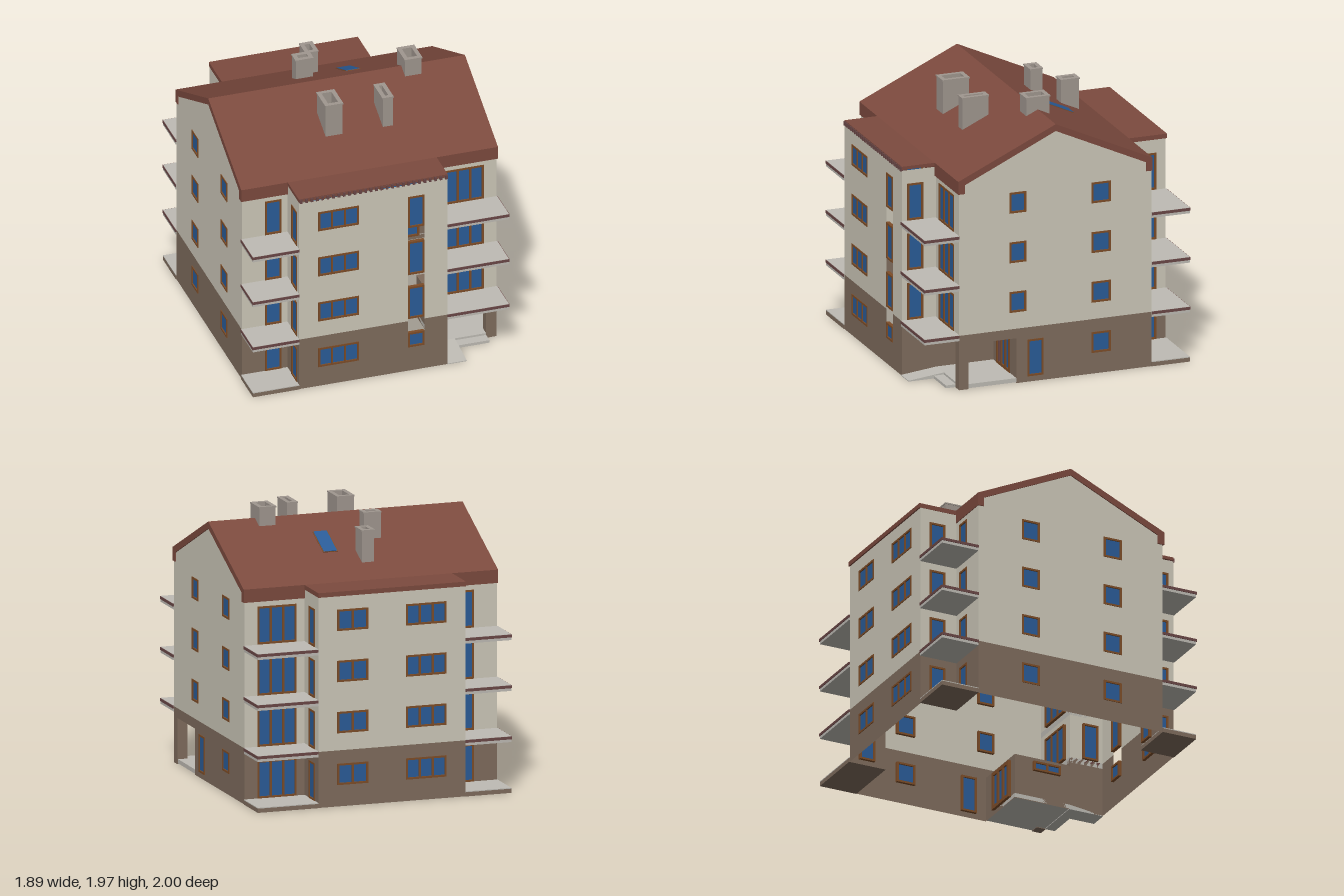
import * as THREE from 'three';
import { mergeGeometries } from 'three/addons/utils/BufferGeometryUtils.js';

const mat = (color, side = THREE.FrontSide) => new THREE.MeshStandardMaterial({ color, side, flatShading: true });
const M = {
  plaster: mat(0xcdc8b9, THREE.DoubleSide),
  plinth: mat(0x7f6c5d, THREE.DoubleSide),
  roof: mat(0x7c4a3e, THREE.DoubleSide),
  frame: mat(0x7d4d28),
  glass: mat(0x2a5c98),
  trim: mat(0x6a4746),
  slab: mat(0xbebbb4),
  chimney: mat(0xa0978f),
};
const PLINTH_TOP = 0.4;
const FRONT = 0, RIGHT = Math.PI / 2, BACK = Math.PI, LEFT = -Math.PI / 2;
const TOPS = [0.305, 0.675, 1.04, 1.405]; // window heads per storey

function add(parent, name, geometry, material) {
  const mesh = new THREE.Mesh(geometry, material);
  mesh.name = name;
  parent.add(mesh);
  return mesh;
}

// Box given by its limits on each axis
function box(parent, name, material, x0, x1, y0, y1, z0, z1) {
  const g = new THREE.BoxGeometry(x1 - x0, y1 - y0, z1 - z0);
  g.translate((x0 + x1) / 2, (y0 + y1) / 2, (z0 + z1) / 2);
  return add(parent, name, g, material);
}

function rectPath(Type, x0, x1, y0, y1) {
  return new Type().moveTo(x0, y0).lineTo(x1, y0).lineTo(x1, y1).lineTo(x0, y1).closePath();
}

// Frame with a number of glass panes side by side
function makeWindow(parent, { u0, u1, y0, y1, panes = 1, bar = 0.014 }) {
  const shape = rectPath(THREE.Shape, u0, u1, y0, y1);
  const w = (u1 - u0 - bar * (panes + 1)) / panes;
  for (let i = 0; i < panes; i++) {
    const a = u0 + bar + i * (w + bar);
    shape.holes.push(rectPath(THREE.Path, a, a + w, y0 + bar, y1 - bar));
  }
  const g = new THREE.ExtrudeGeometry(shape, { depth: 0.026, bevelEnabled: false });
  g.translate(0, 0, -0.021);
  add(parent, 'windowFrame', g, M.frame);
  box(parent, 'windowGlass', M.glass, u0 + 0.005, u1 - 0.005, y0 + 0.005, y1 - 0.005, -0.01, -0.004);
}

// Flat wall in local (u, y), pushed out by d and turned; openings are left out of a grid of cells
function makeWall(parent, name, turn, d, u0, u1, top, openings = []) {
  const wall = new THREE.Group();
  wall.name = name;
  wall.rotation.y = turn;
  wall.position.set(Math.sin(turn) * d, 0, Math.cos(turn) * d);
  parent.add(wall);
  const steps = (list) => [...new Set(list)].sort((a, b) => a - b);
  const us = steps([u0, u1, ...openings.flatMap((o) => [o.u0, o.u1])]);
  const ys = steps([0, top, ...(top > PLINTH_TOP ? [PLINTH_TOP] : []), ...openings.flatMap((o) => [o.y0, o.y1])]);
  const cells = { plinth: [], plaster: [] };
  for (let i = 0; i + 1 < us.length; i++) {
    for (let j = 0; j + 1 < ys.length; j++) {
      const u = (us[i] + us[i + 1]) / 2, y = (ys[j] + ys[j + 1]) / 2;
      if (openings.some((o) => u > o.u0 && u < o.u1 && y > o.y0 && y < o.y1)) continue;
      const g = new THREE.PlaneGeometry(us[i + 1] - us[i], ys[j + 1] - ys[j]);
      g.translate(u, y, 0);
      cells[y < PLINTH_TOP ? 'plinth' : 'plaster'].push(g);
    }
  }
  for (const key in cells) if (cells[key].length) add(wall, key + 'Band', mergeGeometries(cells[key]), M[key]);
  openings.filter((o) => !o.empty).forEach((o) => makeWindow(wall, o));
  return wall;
}

// The same window repeated on chosen storeys
const column = (u0, u1, height, panes = 1, floors = [0, 1, 2, 3]) =>
  floors.map((f) => ({ u0, u1, y0: TOPS[f] - height, y1: TOPS[f], panes }));
const UPPER = [1, 2, 3];

function buildWalls(g) {
  // Front bay with a stair strip left open between its windows
  const stair = [[0.19, 0.305], [0.42, 0.675], [0.775, 1.04], [1.155, 1.405]].map(([y0, y1]) => ({ u0: 0.2, u1: 0.32, y0, y1 }));
  const gaps = [0, 1, 2].map((i) => ({ u0: 0.2, u1: 0.32, y0: stair[i].y1, y1: stair[i + 1].y0, empty: true }));
  makeWall(g, 'frontBayWall', FRONT, 0.985, -0.6, 0.49, 1.505, [...column(-0.46, -0.16, 0.152, 3), ...stair, ...gaps]);
  makeWall(g, 'backBayWall', BACK, 0.99, -0.49, 0.6, 1.505, [...column(0.16, 0.46, 0.152, 3), ...column(-0.35, -0.12, 0.152, 2)]);

  // Bay flanks with balcony doors
  makeWall(g, 'frontBayRightFlank', RIGHT, 0.49, -0.985, -0.73, 1.505, column(-0.945, -0.825, 0.27, 1, UPPER));
  makeWall(g, 'backBayRightFlank', RIGHT, 0.49, 0.71, 0.99, 1.505, column(0.8, 0.92, 0.27));
  makeWall(g, 'frontBayLeftFlank', LEFT, 0.6, 0.73, 0.985, 1.505, column(0.825, 0.945, 0.27));
  makeWall(g, 'backBayLeftFlank', LEFT, 0.6, -0.99, -0.71, 1.505, column(-0.92, -0.8, 0.27));

  // Walls behind the balconies
  const porchFront = { u0: 0.49, u1: 0.86, y0: 0, y1: 0.33, empty: true };
  makeWall(g, 'frontLeftWall', FRONT, 0.73, -0.935, -0.6, 1.5, column(-0.765, -0.645, 0.27));
  makeWall(g, 'frontRightWall', FRONT, 0.73, 0.49, 0.935, 1.5, [porchFront, ...column(0.55, 0.84, 0.27, 3, UPPER)]);
  makeWall(g, 'backLeftWall', BACK, 0.71, 0.6, 0.935, 1.5, column(0.645, 0.765, 0.27));
  makeWall(g, 'backRightWall', BACK, 0.71, -0.935, -0.49, 1.5, column(-0.84, -0.55, 0.27, 3));

  // Gable sides
  const porchSide = { u0: -0.66, u1: -0.3, y0: 0, y1: 0.33, empty: true };
  const right = makeWall(g, 'rightGableWall', RIGHT, 0.935, -0.73, 0.71, 1.44, [porchSide,
    ...column(-0.355, -0.23, 0.152, 1, UPPER), ...column(0.26, 0.405, 0.152),
    { u0: -0.22, u1: -0.1, y0: 0.04, y1: 0.31 }]);
  const left = makeWall(g, 'leftGableWall', LEFT, 0.935, -0.71, 0.73, 1.44,
    [...column(-0.37, -0.23, 0.152), ...column(0.27, 0.41, 0.152)]);
  [[right, -1], [left, 1]].forEach(([wall, s]) => {
    const pts = [[0.73, 1.44], [0.73, 1.5], [0.01, 1.84], [-0.71, 1.5], [-0.71, 1.44]];
    add(wall, 'gable', new THREE.ShapeGeometry(new THREE.Shape(pts.map(([z, y]) => new THREE.Vector2(z * s, y)))), M.plaster);
  });
}

function buildPorch(g) {
  const door = makeWall(g, 'porchBackWall', FRONT, 0.3, 0.49, 0.935, 0.33,
    [{ u0: 0.55, u1: 0.81, y0: 0.03, y1: 0.31, panes: 3, bar: 0.026 }]);
  box(door, 'doorHandle', M.trim, 0.634, 0.642, 0.07, 0.27, 0.005, 0.02);
  makeWall(g, 'porchSideWall', RIGHT, 0.49, -0.73, -0.3, 0.33, [{ u0: -0.65, u1: -0.44, y0: 0.235, y1: 0.305, panes: 2 }]);
  box(g, 'porchCeiling', M.plinth, 0.49, 0.93, 0.33, 0.335, 0.3, 0.725);
  box(g, 'porchPillar', M.plinth, 0.86, 0.933, 0, 0.33, 0.66, 0.728);
  box(g, 'porchFloor', M.slab, 0.49, 0.93, 0.005, 0.035, 0.3, 0.725);
  box(g, 'porchStep', M.slab, 0.63, 0.86, 0, 0.02, 0.725, 0.8);
  // Wedge ramp running along the bay
  const wedge = new THREE.Shape([[0.725, 0], [0.99, 0], [0.99, 0.006], [0.725, 0.035]].map(([z, y]) => new THREE.Vector2(-z, y)));
  const ramp = new THREE.ExtrudeGeometry(wedge, { depth: 0.14, bevelEnabled: false });
  ramp.rotateY(RIGHT).translate(0.49, 0, 0);
  add(g, 'ramp', ramp, M.slab);
}

function buildBalconies(g) {
  for (const [x0, x1] of [[-0.94, -0.6], [0.49, 0.94]]) {
    for (const [z0, z1] of [[0.73, 0.99], [-0.995, -0.71]]) {
      for (const y of [0.405, 0.77, 1.133]) {
        box(g, 'balconySlab', M.slab, x0, x1, y - 0.042, y, z0, z1);
        const e = 0.004, out = x0 < 0 ? [e, 0] : [0, e];
        box(g, 'balconyTrim', M.trim, x0 - out[0], x1 + out[1], y - 0.022, y - 0.002,
          z0 - (z0 < 0 ? e : 0), z1 + (z0 > 0 ? e : 0));
      }
      if (x0 < 0 || z0 < 0) { // terraces, except at the entrance
        box(g, 'terraceBase', M.plinth, x0, x1, 0, 0.03, z0, z1);
        box(g, 'terraceFloor', M.slab, x0, x1, 0.03, 0.036, z0, z1);
      }
    }
  }
}

function buildRoof(g) {
  // Gabled roof section with deep eave boards, swept across the width
  const section = [[0.74, 1.44], [0.74, 1.535], [0.01, 1.87], [-0.715, 1.535], [-0.715, 1.44],
    [-0.67, 1.44], [-0.67, 1.505], [0.01, 1.82], [0.69, 1.505], [0.69, 1.44]];
  const geo = new THREE.ExtrudeGeometry(new THREE.Shape(section.map(([z, y]) => new THREE.Vector2(-z, y))),
    { depth: 1.885, bevelEnabled: false });
  geo.rotateY(RIGHT).translate(-0.9425, 0, 0);
  add(g, 'mainRoof', geo, M.roof);
  box(g, 'frontBayRoof', M.roof, -0.602, 0.492, 1.512, 1.535, 0.7, 0.985);
  box(g, 'backBayRoof', M.roof, -0.602, 0.492, 1.502, 1.535, -1, -0.68);
  for (let i = 0; i < 28; i++) {
    const x = -0.595 + i * 0.0395;
    box(g, 'rafterEnd', M.trim, x, x + 0.018, 1.502, 1.532, 0.95, 0.995);
  }
  // Roof window lying on the back slope
  const sky = new THREE.Group();
  sky.name = 'skylight';
  const slope = Math.atan2(0.335, 0.725);
  sky.position.set(0.185, 1.87 - 0.3 * Math.tan(slope), -0.29);
  sky.rotation.x = -slope;
  box(sky, 'skylightFrame', M.frame, -0.055, 0.055, -0.01, 0.004, -0.122, 0.122);
  box(sky, 'skylightGlass', M.glass, -0.049, 0.049, 0, 0.007, -0.117, 0.117);
  g.add(sky);
}

function buildChimneys(g) {
  const list = [ // x0, x1, z0, z1, bottom, top
    [-0.225, -0.1, 0.25, 0.445, 1.665, 1.92], [0.195, 0.27, 0.25, 0.445, 1.665, 1.905],
    [0.475, 0.597, -0.08, 0.095, 1.825, 1.965], [-0.225, -0.1, -0.3, -0.21, 1.73, 1.92],
    [-0.09, 0, -0.535, -0.4, 1.62, 1.85]];
  const tube = (name, x0, x1, z0, z1, y0, y1, rim) => {
    const s = rectPath(THREE.Shape, x0, x1, -z1, -z0);
    s.holes.push(rectPath(THREE.Path, x0 + rim, x1 - rim, -z1 + rim, -z0 - rim));
    const geo = new THREE.ExtrudeGeometry(s, { depth: y1 - y0, bevelEnabled: false });
    geo.rotateX(-Math.PI / 2).translate(0, y0, 0);
    add(g, name, geo, M.chimney);
  };
  for (const [x0, x1, z0, z1, y0, y1] of list) {
    tube('chimney', x0, x1, z0, z1, y0, y1 - 0.01, 0.026);
    tube('chimneyCap', x0 - 0.004, x1 + 0.004, z0 - 0.004, z1 + 0.004, y1 - 0.01, y1, 0.03);
  }
}

export function createModel() {
  const model = new THREE.Group();
  model.name = 'apartmentBuilding';
  const parts = { walls: buildWalls, porch: buildPorch, balconies: buildBalconies, roof: buildRoof, chimneys: buildChimneys };
  for (const name in parts) {
    const group = new THREE.Group();
    group.name = name;
    parts[name](group);
    model.add(group);
  }
  return model;
}
